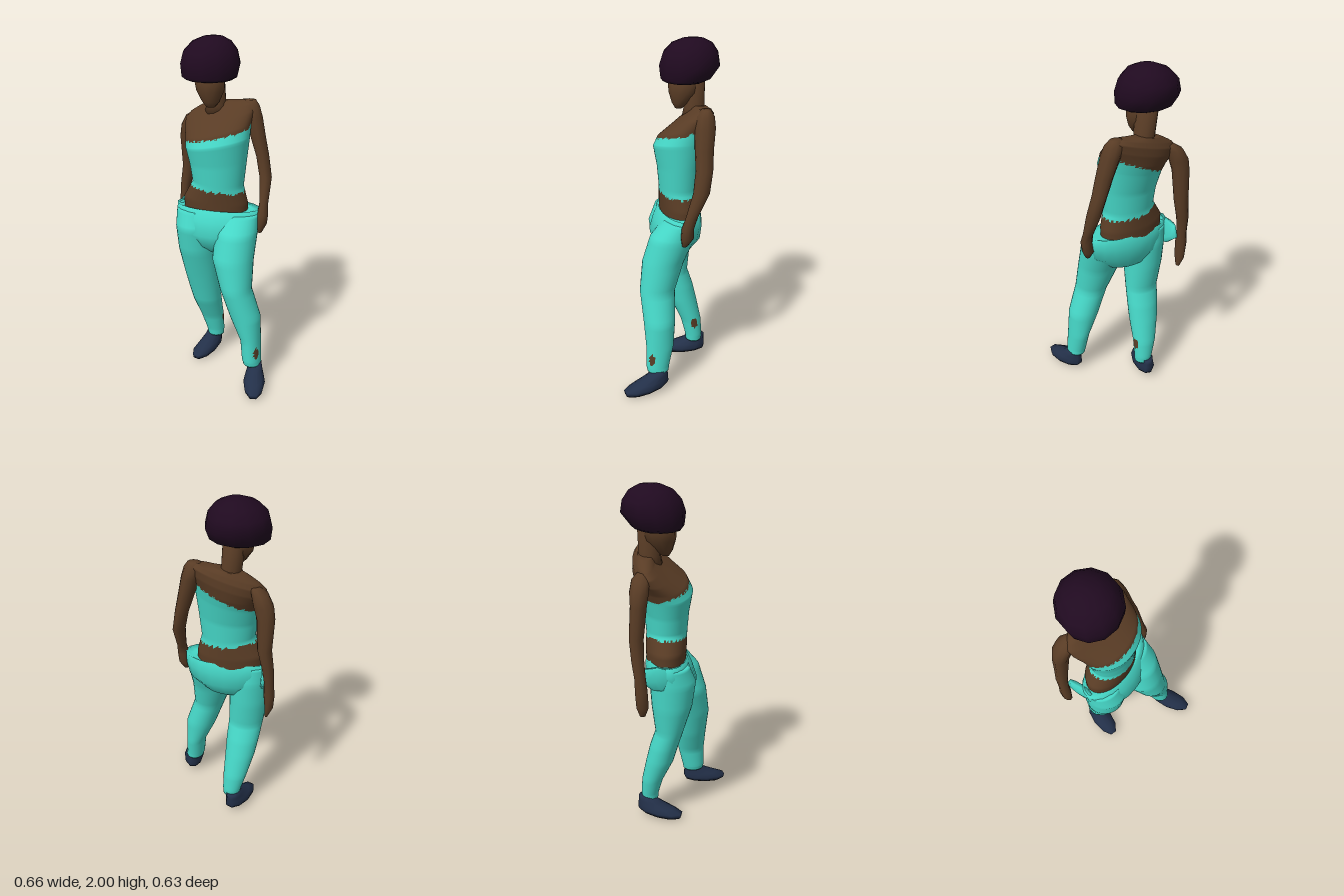
import * as THREE from 'three';

const paint = (name, color) => Object.assign(new THREE.MeshStandardMaterial({ color }), { name });

// Skin through horizontal rings, listed bottom to top.
// Ring: [x, y, z, halfWidth, halfDepth, tilt, yaw, pitch];
// tilt raises the +x side, pitch raises the ring's front.
// pick(x, y, z) chooses a material index per triangle.
function loft(name, rings, materials, { sides = 12, steps = 1, pick = null } = {}) {
  const rows = [];
  rings.forEach((r, i) => {
    const next = rings[i + 1];
    for (let s = 0; s < (next ? steps : 1); s++) {
      rows.push([0, 1, 2, 3, 4, 5, 6, 7].map((k) => {
        const a = r[k] || 0;
        return next ? THREE.MathUtils.lerp(a, next[k] || 0, s / steps) : a;
      }));
    }
  });
  const pos = [];
  for (const [x, y, z, w, d, tilt, yaw, pitch] of rows) {
    for (let j = 0; j < sides; j++) {
      const a = (j / sides) * Math.PI * 2;
      const u = Math.cos(a) * w, v = Math.sin(a) * d;
      const dx = u * Math.cos(yaw) + v * Math.sin(yaw);
      const dz = v * Math.cos(yaw) - u * Math.sin(yaw);
      pos.push(x + dx, y + tilt * dx + pitch * v, z + dz);
    }
  }
  const last = rows.length - 1, low = rows.length * sides, high = low + 1;
  pos.push(...rows[0].slice(0, 3), ...rows[last].slice(0, 3));
  const tris = [];
  for (let j = 0; j < sides; j++) {
    const k = (j + 1) % sides;
    for (let i = 0; i < last; i++) {
      const a = i * sides, b = a + sides;
      tris.push([a + j, b + j, a + k], [a + k, b + j, b + k]);
    }
    tris.push([low, j, k], [high, last * sides + k, last * sides + j]);
  }
  const geo = new THREE.BufferGeometry();
  geo.setAttribute('position', new THREE.Float32BufferAttribute(pos, 3));
  const mean = (t, c) => (pos[t[0] * 3 + c] + pos[t[1] * 3 + c] + pos[t[2] * 3 + c]) / 3;
  if (pick) {
    const buckets = materials.map(() => []);
    for (const t of tris) buckets[pick(mean(t, 0), mean(t, 1), mean(t, 2))].push(...t);
    geo.setIndex(buckets.flat());
    let start = 0;
    buckets.forEach((b, i) => { geo.addGroup(start, b.length, i); start += b.length; });
  } else geo.setIndex(tris.flat());
  geo.computeVertexNormals();
  const mesh = new THREE.Mesh(geo, materials);
  mesh.name = name;
  return mesh;
}

export function createModel() {
  const skin = paint('skin', 0x593c25);
  const cloth = paint('turquoise cloth', 0x46d8c8);
  const hairColor = paint('dark plum hair', 0x200a20);
  const shoe = paint('navy shoe', 0x233049);
  const soleColor = paint('dark sole', 0x2b2829);
  const group = new THREE.Group();
  group.name = 'standing woman';
  const add = (...args) => group.add(loft(...args));

  // Torso with a strapless top, edges slightly frayed, neckline steeper at the back
  const fray = (x, z) => 0.006 * Math.sin(x * 190 + z * 130);
  add('torso', [
    [-0.05, 0.98, -0.08, 0.19, 0.11],
    [-0.05, 1.08, -0.08, 0.19, 0.115, -0.05],
    [-0.035, 1.18, -0.075, 0.15, 0.115, -0.05],
    [-0.035, 1.3, -0.075, 0.165, 0.125, 0.08],
    [-0.04, 1.42, -0.08, 0.185, 0.15, 0.2],
    [-0.045, 1.48, -0.105, 0.19, 0.145, 0.25],
    [-0.05, 1.54, -0.15, 0.205, 0.11, 0.28],
    [-0.055, 1.585, -0.18, 0.205, 0.078, 0.28],
    [-0.06, 1.61, -0.19, 0.17, 0.055, 0.26],
    [-0.07, 1.63, -0.19, 0.08, 0.04, 0.18],
  ], [skin, cloth], {
    sides: 60, steps: 8,
    pick: (x, y, z) => {
      const slope = 0.25 + THREE.MathUtils.clamp((-0.05 - z) * 1.5, 0, 0.2);
      const top = 1.465 + slope * (x + 0.04) + fray(x, z);
      const hem = 1.155 - 0.08 * (x + 0.03) + fray(z, x);
      return y > hem && y < top ? 1 : 0;
    },
  });

  // Neck, face and rounded hair
  add('neck', [
    [-0.07, 1.56, -0.17, 0.08, 0.075],
    [-0.07, 1.62, -0.165, 0.055, 0.06],
    [-0.085, 1.78, -0.165, 0.06, 0.065],
  ], skin);
  add('face', [
    [-0.08, 1.62, -0.08, 0.025, 0.02],
    [-0.082, 1.65, -0.09, 0.05, 0.048],
    [-0.09, 1.71, -0.11, 0.08, 0.085],
    [-0.1, 1.8, -0.12, 0.09, 0.1],
  ], skin);
  add('hair', [
    [-0.1, 1.768, -0.11, 0.13, 0.115],
    [-0.1, 1.785, -0.122, 0.16, 0.14],
    [-0.1, 1.855, -0.145, 0.171, 0.171],
    [-0.1, 1.92, -0.15, 0.155, 0.155],
    [-0.095, 1.97, -0.155, 0.11, 0.115],
    [-0.09, 1.995, -0.16, 0.055, 0.06],
    [-0.09, 2.0, -0.16, 0.01, 0.01],
  ], hairColor);

  // Left arm, hand tucked at the hip
  add('leftArm', [
    [0.222, 0.91, -0.052, 0.012, 0.015],
    [0.225, 0.96, -0.065, 0.035, 0.036],
    [0.235, 1.02, -0.065, 0.032, 0.034],
    [0.235, 1.08, -0.085, 0.026, 0.033],
    [0.23, 1.22, -0.14, 0.036, 0.046],
    [0.205, 1.34, -0.16, 0.038, 0.048],
    [0.175, 1.45, -0.165, 0.045, 0.052],
    [0.145, 1.56, -0.175, 0.052, 0.058],
    [0.125, 1.62, -0.18, 0.053, 0.05],
    [0.12, 1.653, -0.185, 0.035, 0.025],
  ], skin, { sides: 10 });

  // Right arm hanging down
  add('rightArm', [
    [-0.288, 0.77, -0.225, 0.008, 0.015],
    [-0.3, 0.83, -0.225, 0.024, 0.035],
    [-0.3, 0.92, -0.23, 0.031, 0.036],
    [-0.298, 1.0, -0.235, 0.027, 0.032],
    [-0.29, 1.1, -0.245, 0.033, 0.036],
    [-0.27, 1.22, -0.25, 0.04, 0.041],
    [-0.268, 1.4, -0.235, 0.05, 0.046],
    [-0.253, 1.47, -0.23, 0.055, 0.053],
    [-0.23, 1.53, -0.22, 0.045, 0.05],
    [-0.205, 1.56, -0.215, 0.025, 0.025],
  ], skin, { sides: 10 });

  // Loose trousers: hips, a pulled-out side fold, then each leg with a small tear
  add('trouserHips', [
    [-0.035, 0.775, -0.04, 0.05, 0.05],
    [-0.035, 0.82, -0.045, 0.15, 0.105],
    [-0.035, 0.9, -0.05, 0.235, 0.145],
    [-0.035, 0.98, -0.065, 0.25, 0.135],
    [-0.035, 1.045, -0.075, 0.25, 0.115],
    [-0.035, 1.03, -0.075, 0.21, 0.105],
  ], cloth, { sides: 20 });
  add('trouserSideFold', [
    [-0.25, 0.91, -0.12, 0.02, 0.05],
    [-0.262, 0.97, -0.15, 0.022, 0.09],
    [-0.262, 1.04, -0.14, 0.02, 0.08],
  ], cloth, { sides: 10 });
  const tear = (cx, cy, cz, r) => (x, y, z) =>
    Math.hypot(x - cx, (y - cy) * 0.6, z - cz) < r ? 1 : 0;
  add('leftTrouserLeg', [
    [0.23, 0.13, 0.105, 0.053, 0.063],
    [0.225, 0.16, 0.105, 0.056, 0.068],
    [0.215, 0.28, 0.09, 0.06, 0.08],
    [0.178, 0.43, 0.085, 0.09, 0.092],
    [0.12, 0.6, 0.085, 0.092, 0.102],
    [0.09, 0.77, 0.045, 0.12, 0.12],
    [0.095, 0.92, -0.01, 0.122, 0.13],
    [0.095, 1.02, -0.06, 0.115, 0.095],
  ], [cloth, skin], { sides: 28, steps: 6, pick: tear(0.262, 0.22, 0.145, 0.021) });
  add('rightTrouserLeg', [
    [-0.082, 0.12, -0.185, 0.05, 0.048],
    [-0.085, 0.16, -0.185, 0.055, 0.052],
    [-0.1, 0.26, -0.17, 0.07, 0.062],
    [-0.12, 0.4, -0.125, 0.088, 0.08],
    [-0.13, 0.5, -0.1, 0.096, 0.082],
    [-0.14, 0.6, -0.07, 0.1, 0.08],
    [-0.155, 0.77, -0.055, 0.115, 0.115],
    [-0.16, 0.92, -0.05, 0.122, 0.13],
    [-0.165, 1.02, -0.065, 0.115, 0.105],
  ], [cloth, skin], { sides: 28, steps: 6, pick: tear(-0.03, 0.25, -0.18, 0.021) });

  // Shoes: sole sloping down to the toe, upper rising to the ankle
  const foot = (name, x, z, yaw) => {
    const at = (along, y, w, d, pitch) =>
      [x + Math.sin(yaw) * along, y, z + Math.cos(yaw) * along, w, d, 0, yaw, pitch];
    const sole = at(0.035, 0.022, 0.052, 0.122, -0.15);
    const welt = at(0.04, 0.03, 0.058, 0.134, -0.13);
    add(name + 'Sole', [sole, welt], soleColor, { sides: 10 });
    add(name, [
      welt,
      at(0.04, 0.05, 0.064, 0.14, -0.08),
      at(0.012, 0.078, 0.055, 0.11, -0.12),
      at(-0.025, 0.108, 0.044, 0.07, -0.1),
      at(-0.045, 0.14, 0.038, 0.048),
    ], shoe, { sides: 10 });
  };
  foot('leftShoe', 0.255, 0.143, 0.2);
  foot('rightShoe', -0.11, -0.165, -0.32);

  return group;
}
